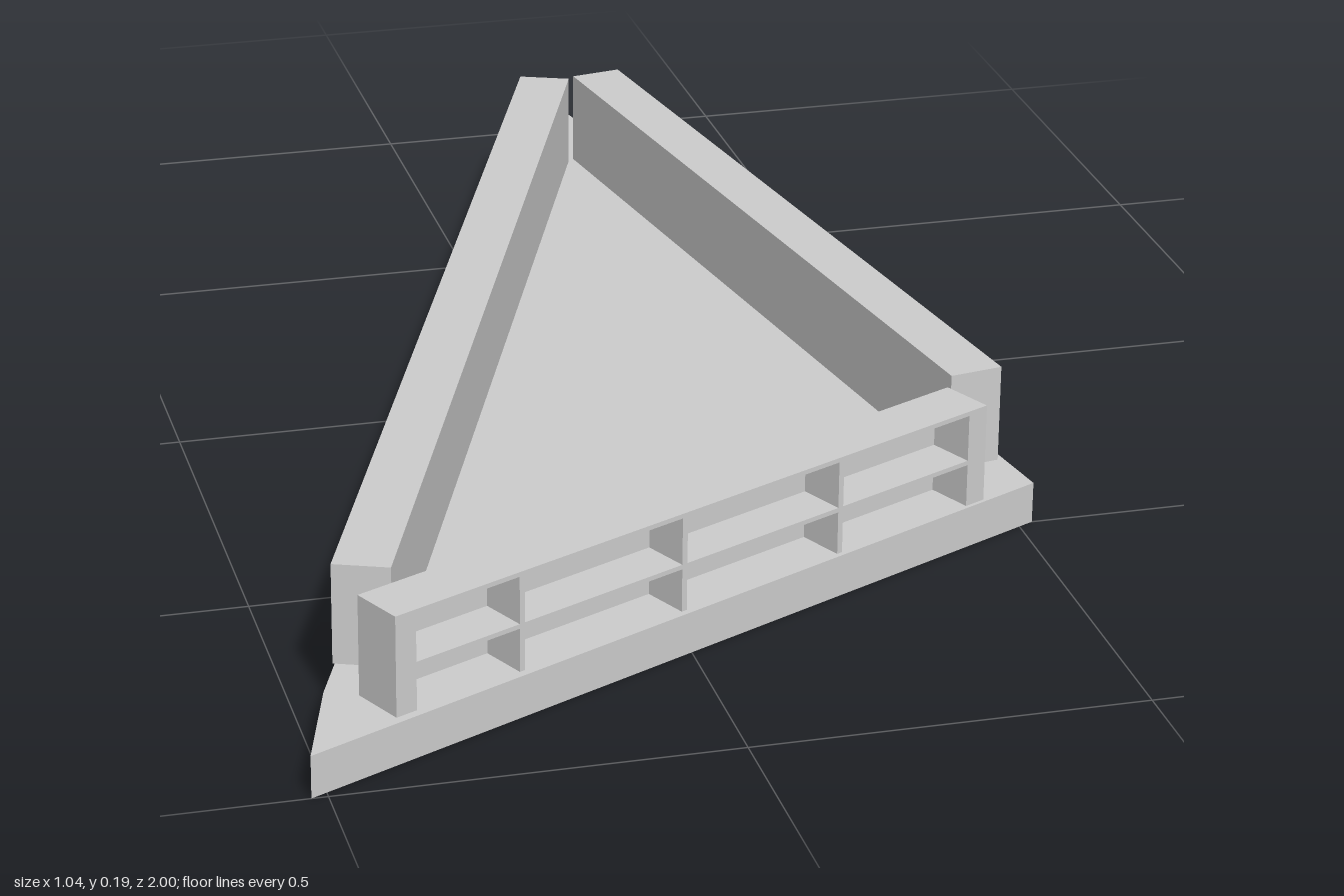
import * as THREE from 'three';

const BASE_H = 0.055, WALL_H = 0.131, THICK = 0.072;
const BACK = 0.01, POST = 0.03, SLAB = 0.006, DIVIDER = 0.008;

const material = new THREE.MeshStandardMaterial({ color: 0xcccccc, flatShading: true });

function box(parent, name, w, h, d, x, y, z) {
  const mesh = new THREE.Mesh(new THREE.BoxGeometry(w, h, d), material);
  mesh.name = name;
  mesh.position.set(x, y, z);
  parent.add(mesh);
}

// Open shelving wall; left and right are its outer corners [x, z] seen from outside
function shelfWall(name, left, right, dividers) {
  const dx = right[0] - left[0], dz = right[1] - left[1];
  const length = Math.hypot(dx, dz);
  const wall = new THREE.Group();
  wall.name = name;
  wall.position.set(left[0], BASE_H, left[1]);
  wall.rotation.y = Math.atan2(-dz, dx);

  const depth = THICK - BACK, inner = length - 2 * POST;
  const mid = length / 2, zMid = -depth / 2;
  box(wall, 'backPanel', length, WALL_H, BACK, mid, WALL_H / 2, -THICK + BACK / 2);
  for (const x of [POST / 2, length - POST / 2])
    box(wall, 'endPost', POST, WALL_H, depth, x, WALL_H / 2, zMid);
  box(wall, 'topBoard', inner, SLAB, depth, mid, WALL_H - SLAB / 2, zMid);
  box(wall, 'middleShelf', inner, SLAB, depth, mid, 0.06, zMid);
  for (const f of dividers)
    box(wall, 'divider', DIVIDER, WALL_H - SLAB, depth, f * length, (WALL_H - SLAB) / 2, zMid);
  return wall;
}

export function createModel() {
  const model = new THREE.Group();
  model.name = 'triangularShelving';

  // Triangular floor plate with slightly bent sides, outline as [x, z]
  const outline = [[0.24, -1], [-0.158, 0.055], [-0.475, 0.85], [-0.52, 1], [0.52, 0.5], [0.3, -0.75]];
  const shape = new THREE.Shape(outline.map(([x, z]) => new THREE.Vector2(x, -z)));
  const plate = new THREE.ExtrudeGeometry(shape, { depth: BASE_H, bevelEnabled: false });
  plate.rotateX(-Math.PI / 2);
  const base = new THREE.Mesh(plate, material);
  base.name = 'floorPlate';
  model.add(base);

  // Three shelving walls facing outward
  model.add(shelfWall('frontWall', [-0.405, 0.932], [0.442, 0.532], [0.2, 0.468, 0.738]));
  model.add(shelfWall('leftWall', [0.498, 0.422], [0.293, -0.75], [0.197, 0.463, 0.738]));
  model.add(shelfWall('rightWall', [0.146, -0.755], [-0.45, 0.78], [0.256, 0.53, 0.83]));
  return model;
}
